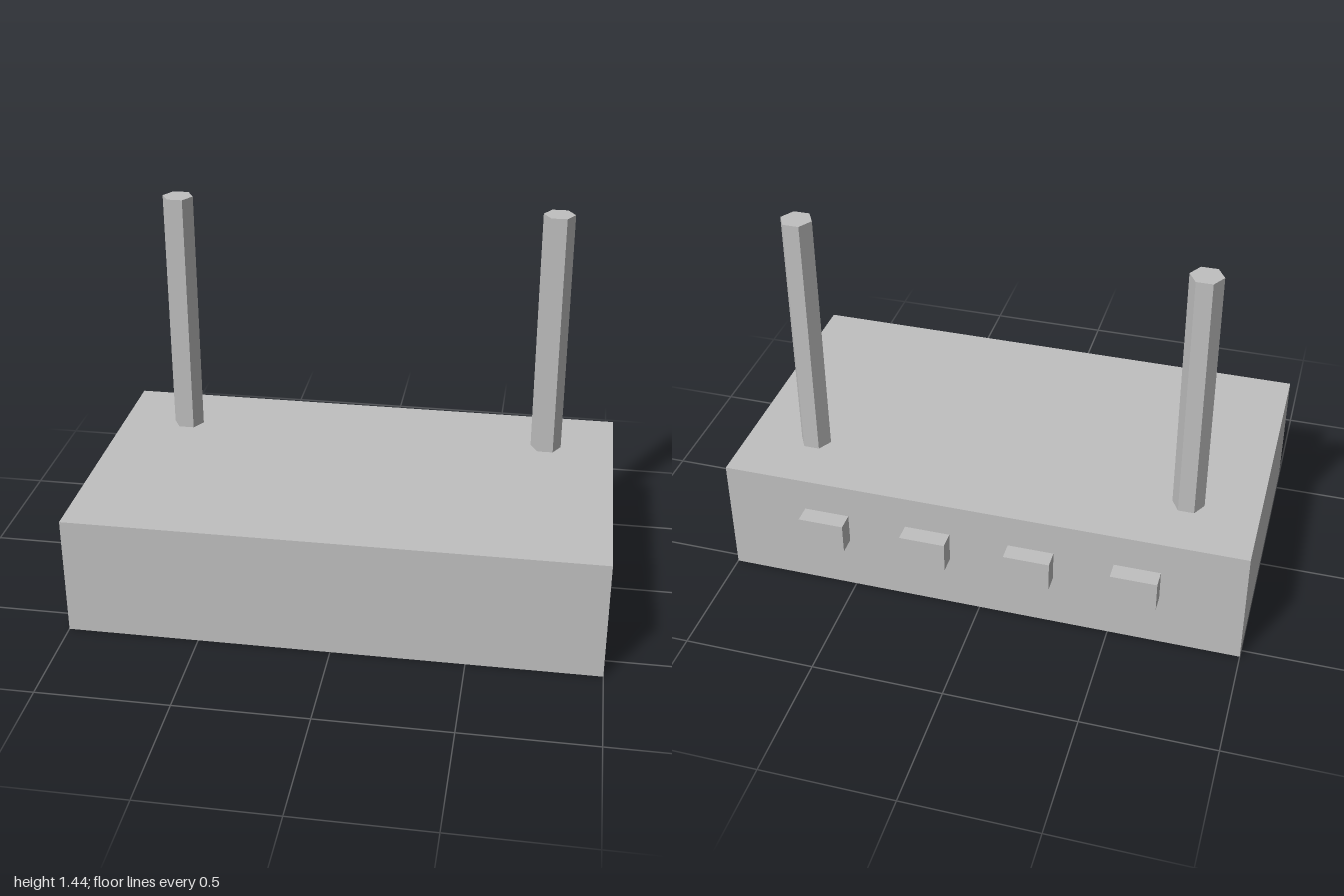
import * as THREE from 'three';

export function createModel() {
  const model = new THREE.Group();
  model.name = 'router';
  const grey = new THREE.MeshStandardMaterial({ color: 0xc0c0c0, flatShading: true });
  grey.name = 'light grey';

  const add = (name, geometry, x, y, z) => {
    const mesh = new THREE.Mesh(geometry, grey);
    mesh.name = name;
    mesh.position.set(x, y, z);
    model.add(mesh);
  };

  // Plain box housing
  const height = 0.467, back = -0.533, front = 0.6;
  add('housing', new THREE.BoxGeometry(2, height, front - back), 0, height / 2, (front + back) / 2);

  // Pair of hexagonal antennas, with corners pointing sideways
  const antennaHeight = 1.44 - height;
  const antenna = new THREE.CylinderGeometry(0.06, 0.06, antennaHeight, 6, 1, false, Math.PI / 6);
  for (const [name, side] of [['leftAntenna', 1], ['rightAntenna', -1]]) {
    add(name, antenna, side * 0.733, height + antennaHeight / 2, -0.275);
  }

  // Row of four ports on the back
  const port = new THREE.BoxGeometry(0.174, 0.118, 0.067);
  for (let i = 0; i < 4; i++) {
    add(`port${i + 1}`, port, -0.6 + i * 0.4, 0.276, back - 0.0335);
  }

  return model;
}
